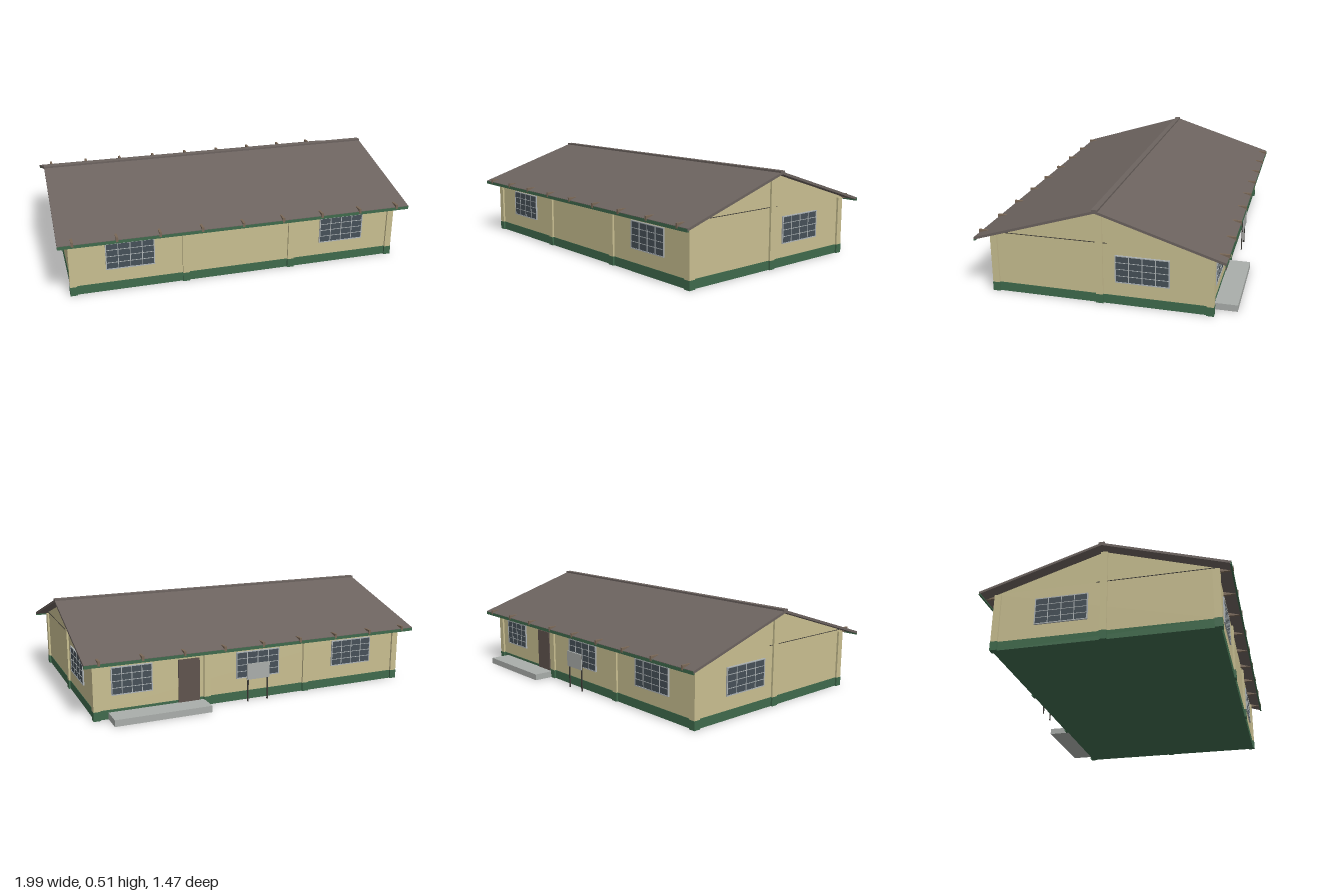
import * as THREE from 'three';

const mat = (name, color) => {
  const m = new THREE.MeshStandardMaterial({ color });
  m.name = name;
  return m;
};

export function createModel() {
  const wall = mat('cream wall', 0xc8be90);
  const green = mat('green paint', 0x3f6a4c);
  const roofMat = mat('roof brown', 0x6c635f);
  const glass = mat('window glass', 0x465058);
  const frame = mat('window frame', 0xaeb4b6);
  const concrete = mat('concrete', 0xa9adaa);
  const doorMat = mat('door brown', 0x5f534d);
  const wood = mat('rafter wood', 0x7a6857);
  const dark = mat('dark metal', 0x3c3a36);

  const house = new THREE.Group();
  house.name = 'house';

  const box = (name, m, w, h, d, x, y, z, parent = house) => {
    const b = new THREE.Mesh(new THREE.BoxGeometry(w, h, d), m);
    b.position.set(x, y, z);
    b.name = name;
    parent.add(b);
    return b;
  };
  // Extrudes a (z, y) outline along the length of the house
  const alongLength = (name, m, pts, len) => {
    const shape = new THREE.Shape(pts.map(([z, y]) => new THREE.Vector2(-z, y)));
    const g = new THREE.ExtrudeGeometry(shape, { depth: len, bevelEnabled: false });
    g.translate(0, 0, -len / 2).rotateY(Math.PI / 2);
    const mesh = new THREE.Mesh(g, m);
    mesh.name = name;
    house.add(mesh);
  };

  const L = 0.875, W = 0.553;      // half size of the walls
  const RL = 0.9375, RW = 0.6235;  // half size of the roof
  const baseH = 0.047;

  // Walls with gables, over a painted plinth
  alongLength('walls', wall,
    [[-W, baseH], [W, baseH], [W, 0.315], [0, 0.488], [-W, 0.315]], L * 2);
  box('plinth', green, L * 2 + 0.004, baseH, W * 2 + 0.004, 0, baseH / 2, 0);

  // Roof sheets and ridge cap
  alongLength('roof', roofMat,
    [[-RW, 0.293], [0, 0.488], [RW, 0.293], [RW, 0.306], [0, 0.501], [-RW, 0.306]], RL * 2);
  alongLength('ridgeCap', roofMat,
    [[-0.015, 0.49], [0.015, 0.49], [0.015, 0.506], [-0.015, 0.506]], RL * 2);

  // Columns with painted feet
  const column = (x, z, top) => {
    box('column', wall, 0.035, top - baseH, 0.035, x, (top + baseH) / 2, z);
    box('columnFoot', green, 0.037, baseH, 0.037, x, baseH / 2, z);
  };
  for (const s of [-1, 1]) {
    for (const x of [-0.868, -0.289, 0.289, 0.868]) column(x, s * 0.546, 0.308);
    column(s * 0.868, 0, 0.484);
    // Horizontal joint on the gable
    box('gableJoint', dark, 0.004, 0.003, 0.59, s * L, 0.318, 0.255);
  }

  // Eaves: fascia boards and rafter tails
  for (const s of [-1, 1]) {
    box('fascia', green, RL * 2, 0.016, 0.008, 0, 0.296, s * (RW - 0.003));
    for (let i = -4; i <= 4; i++)
      box('rafterTail', wood, 0.012, 0.024, 0.09, i * 0.2165, 0.308, s * 0.582);
  }

  // Barred windows, built facing +z and then turned to their wall
  const windowAt = (x, z, turn, w = 0.245, h = 0.138) => {
    const g = new THREE.Group();
    g.name = 'window';
    box('glass', glass, w, h, 0.006, 0, 0, 0.002, g);
    for (const s of [-1, 1]) {
      box('frameSide', frame, 0.005, h, 0.009, s * w / 2, 0, 0.003, g);
      box('frameRail', frame, w + 0.005, 0.005, 0.009, 0, s * h / 2, 0.003, g);
    }
    for (let i = -1; i <= 1; i++) {
      box('mullion', frame, 0.004, h, 0.003, i * w / 4, 0, 0.005, g);
      box('bar', frame, w, 0.003, 0.003, 0, i * h / 4, 0.005, g);
    }
    g.position.set(x, 0.19, z);
    g.rotation.y = turn;
    house.add(g);
  };
  for (const x of [-0.577, 0.577]) windowAt(x, W, 0);
  for (const x of [-0.577, 0]) windowAt(x, -W, Math.PI);
  windowAt(0.687, -W, Math.PI, 0.205);
  for (const s of [-1, 1]) windowAt(s * L, -0.213, s * Math.PI / 2, 0.265);

  // Back door and its step
  box('door', doorMat, 0.115, 0.225, 0.009, 0.387, 0.146, -W - 0.001);
  box('step', concrete, 0.504, 0.034, 0.117, 0.558, 0.017, -0.6095);

  // Blank notice board on two posts
  box('noticeBoard', concrete, 0.13, 0.085, 0.006, 0.017, 0.163, -0.598);
  for (const x of [-0.04, 0.073])
    box('noticePost', dark, 0.006, 0.2, 0.006, x, 0.1, -0.592);

  // The house stands slightly turned
  house.rotation.y = 0.104;
  house.position.z = 0.0125;
  const model = new THREE.Group();
  model.name = 'model';
  model.add(house);
  return model;
}
